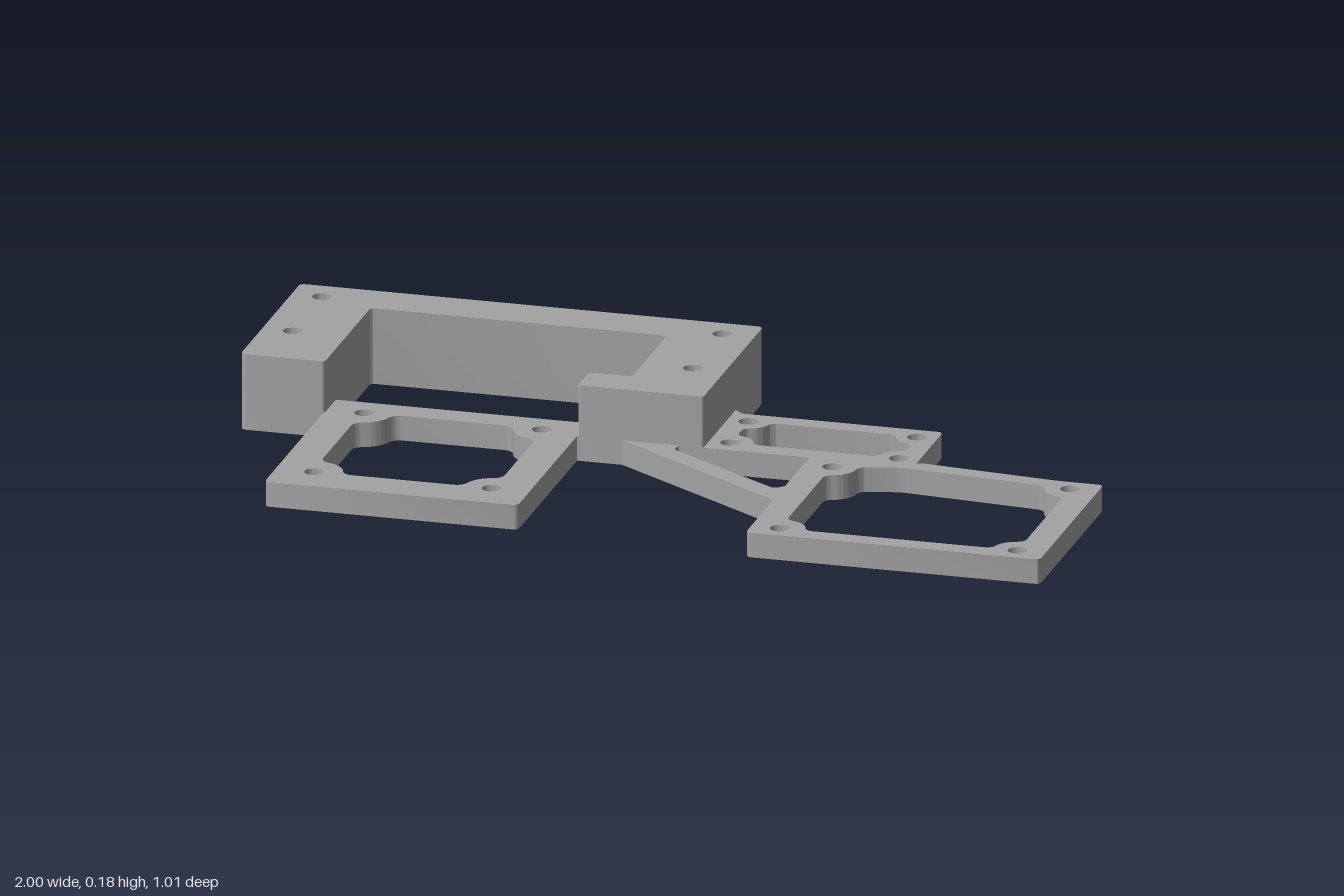
import * as THREE from 'three';
import { toCreasedNormals } from 'three/addons/utils/BufferGeometryUtils.js';

const LOW = 0.058, TALL = 0.178, SCREW = 0.022;

// Closed outline from corners [x, z, radius, isBoss].
// Plain corners are rounded; boss corners bulge inwards around a screw hole.
function outline(corners, path) {
  const n = corners.length;
  const flat = (c) => new THREE.Vector2(c[0], -c[1]);
  corners.forEach((c, i) => {
    const p = flat(c);
    const a = flat(corners[(i + n - 1) % n]).sub(p).normalize();
    const b = flat(corners[(i + 1) % n]).sub(p).normalize();
    const at = (dir, d) => p.clone().addScaledVector(dir, d);
    const r = c[2];
    const start = at(a, c[3] ? r * 1.35 : r), end = at(b, c[3] ? r * 1.35 : r);
    if (i === 0) path.moveTo(start.x, start.y);
    else path.lineTo(start.x, start.y);
    if (!c[3]) {
      path.quadraticCurveTo(p.x, p.y, end.x, end.y);
      return;
    }
    const a0 = a.angle();
    let sweep = b.angle() - a0;
    if (sweep > Math.PI) sweep -= 2 * Math.PI;
    if (sweep < -Math.PI) sweep += 2 * Math.PI;
    const arc = (t) => new THREE.Vector2(
      p.x + r * Math.cos(a0 + sweep * t), p.y + r * Math.sin(a0 + sweep * t));
    const inA = at(a, r), inB = at(b, r), first = arc(0.25), last = arc(0.75);
    path.quadraticCurveTo(inA.x, inA.y, first.x, first.y);
    for (let k = 1; k <= 8; k++) {
      const q = arc(0.25 + k / 16);
      path.lineTo(q.x, q.y);
    }
    path.quadraticCurveTo(inB.x, inB.y, end.x, end.y);
    if (last.x === end.x) return;
  });
  path.closePath();
  return path;
}

const rect = (x0, z0, x1, z1, r, boss) =>
  [[x0, z0, r, boss], [x0, z1, r, boss], [x1, z1, r, boss], [x1, z0, r, boss]];

export function createModel() {
  const group = new THREE.Group();
  const grey = new THREE.MeshStandardMaterial({ color: 0xa3a3a3 });
  grey.name = 'plain grey';

  // Extrudes a floor plan upwards from y = 0
  function plate(name, corners, height, screws = [], window = null) {
    const shape = outline(corners, new THREE.Shape());
    if (window) shape.holes.push(outline(window, new THREE.Path()));
    for (const [x, z] of screws) {
      const hole = new THREE.Path();
      hole.absarc(x, -z, SCREW, 0, Math.PI * 2, true);
      shape.holes.push(hole);
    }
    const geo = new THREE.ExtrudeGeometry(shape, { depth: height, bevelEnabled: false, curveSegments: 8 });
    geo.rotateX(-Math.PI / 2);
    const mesh = new THREE.Mesh(toCreasedNormals(geo, 0.6), grey);
    mesh.name = name;
    group.add(mesh);
  }

  // Tall bracket, open towards the front
  plate('tallBracket', [
    [-1, -0.51, 0.015], [-1, -0.02, 0.015], [-0.805, -0.02, 0.008], [-0.805, -0.395, 0.012],
    [-0.12, -0.395, 0.012], [-0.12, -0.11, 0.006], [-0.22, -0.11, 0.015], [-0.22, -0.02, 0.006],
    [0.07, -0.02, 0.006], [0.07, -0.51, 0.015],
  ], TALL, [[-0.93, -0.44], [-0.005, -0.44], [-0.93, -0.2], [-0.005, -0.2]]);

  // Square mount in front of the bracket
  plate('squareMount', rect(-0.808, -0.11, -0.222, 0.465, 0.015), LOW,
    rect(-0.72, -0.042, -0.31, 0.37, 0), rect(-0.725, -0.045, -0.305, 0.37, 0.07, true));
  // Web joining the square mount to the bracket
  plate('mountWeb', rect(-0.235, -0.105, -0.2, -0.02, 0.006), LOW);

  // Small mount on the bracket's side
  plate('smallMount', [
    [0.06, -0.265, 0.01], [0.06, -0.02, 0.005], [0.3, -0.02, 0.005], [0.38, -0.01, 0.01],
    [0.53, -0.01, 0.01], [0.555, -0.03, 0.01], [0.555, -0.265, 0.015],
  ], LOW, rect(0.118, -0.218, 0.508, -0.07, 0), rect(0.12, -0.22, 0.51, -0.07, 0.05, true));
  // Fillet where the small mount meets the bracket
  plate('smallMountFillet', [[0.065, -0.29, 0.002], [0.065, -0.26, 0.002], [0.095, -0.26, 0.002]], LOW);

  // Large mount with a sloping rear bar
  plate('largeMount', [
    [0.315, -0.022, 0.004], [0.315, 0.502, 0.015], [0.995, 0.502, 0.015], [0.995, -0.02, 0.015],
    [0.89, -0.02, 0.02], [0.56, -0.052, 0.01], [0.535, -0.022, 0.004],
  ], LOW, rect(0.38, 0.025, 0.93, 0.455, 0), [
    [0.38, 0.025, 0.058, true], [0.38, 0.455, 0.058, true], [0.93, 0.455, 0.058, true],
    [0.93, 0.025, 0.058, true], [0.53, -0.01, 0.015],
  ]);

  // Diagonal strut from the bracket to the large mount
  plate('diagonalStrut', [
    [-0.125, -0.025, 0.003], [0.318, 0.278, 0.003], [0.318, 0.175, 0.003],
    [0.295, 0.2, 0.015], [0.01, 0.008, 0.01], [0.015, -0.025, 0.003],
  ], LOW);

  return group;
}
